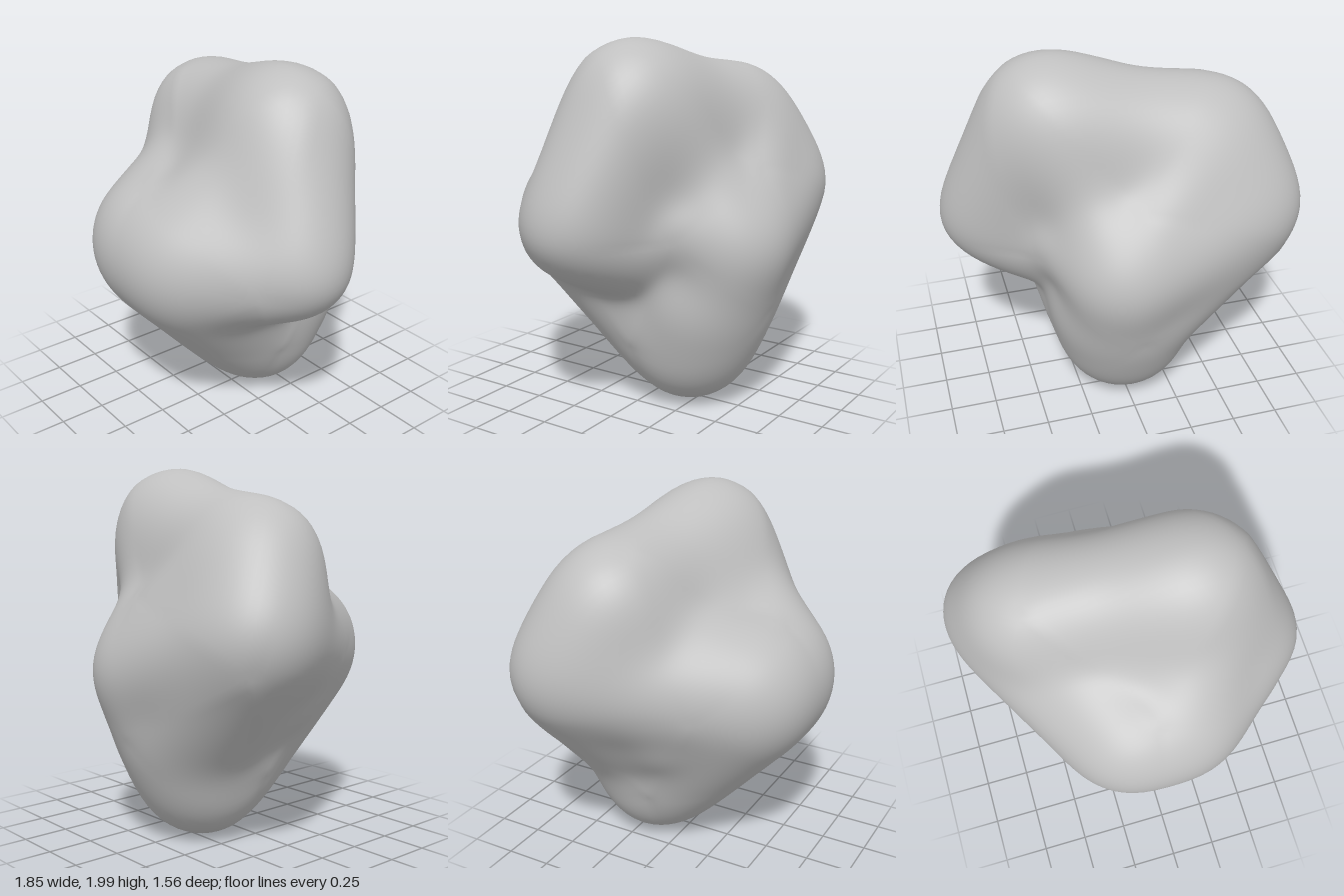
import * as THREE from 'three';
import { mergeVertices } from 'three/addons/utils/BufferGeometryUtils.js';

// Lumps of the boulder: x, y, z, radius
const lumps = {
  peak: [0.35, 1.665, -0.06, 0.365],
  saddle: [-0.06, 1.585, -0.14, 0.315],
  shoulder: [-0.48, 1.515, -0.2, 0.345],
  leftSide: [-0.625, 1.19, -0.36, 0.328],
  leftLow: [-0.28, 0.87, 0.02, 0.32],
  rightSide: [0.672, 1.08, 0.09, 0.285],
  rightLow: [0.42, 0.95, 0.0, 0.265],
  hollow: [0.3, 1.08, -0.22, 0.23],
  frontA: [-0.1, 1.02, 0.38, 0.4],
  frontB: [0.15, 1.02, 0.38, 0.4],
  browA: [-0.35, 1.28, -0.03, 0.28],
  browB: [0.3, 1.37, 0.14, 0.3],
  nape: [0.15, 1.3, -0.22, 0.28],
  back: [0.06, 0.94, -0.47, 0.32],
  neck: [0, 0.62, -0.26, 0.415],
  foot: [-0.01, 0.35, -0.19, 0.365],
  core: [0, 0.97, -0.05, 0.5],
};

// Ridges that join the lumps
const ridges = [
  ['peak', 'saddle'], ['saddle', 'shoulder'], ['peak', 'rightSide'],
  ['peak', 'nape'], ['saddle', 'nape'], ['nape', 'back'],
  ['shoulder', 'back'], ['shoulder', 'leftSide'],
  ['leftSide', 'back'], ['leftSide', 'frontA'], ['leftSide', 'neck'],
  ['leftLow', 'frontA'], ['leftLow', 'neck'],
  ['frontA', 'frontB'], ['frontB', 'rightSide'], ['rightSide', 'rightLow'],
  ['rightLow', 'hollow'], ['hollow', 'back'],
  ['browA', 'browB'], ['browA', 'frontA'], ['browB', 'frontB'],
  ['foot', 'frontA'], ['foot', 'frontB'], ['foot', 'back'], ['foot', 'neck'],
  ['core', 'core'],
];

// Each ridge is a tapered capsule
const capsules = ridges.map((names) => {
  const [a, b] = names.map((name) => new THREE.Vector3(...lumps[name]));
  const [ra, rb] = names.map((name) => lumps[name][3]);
  const axis = b.sub(a);
  return { a, axis, ra, rb, len2: axis.lengthSq() || 1 };
});

const tmp = new THREE.Vector3();

// Distance to the nearest ridge
function distance(p) {
  let nearest = Infinity;
  for (const { a, axis, ra, rb, len2 } of capsules) {
    tmp.copy(p).sub(a);
    const t = THREE.MathUtils.clamp(tmp.dot(axis) / len2, 0, 1);
    const d = tmp.addScaledVector(axis, -t).length() - THREE.MathUtils.lerp(ra, rb, t);
    nearest = Math.min(nearest, d);
  }
  return nearest;
}

// Average each radius with its neighbours to soften the valleys
function soften(radii, index) {
  const sum = new Array(radii.length).fill(0), count = new Array(radii.length).fill(0);
  for (let f = 0; f < index.length; f += 3) {
    for (let k = 0; k < 3; k++) {
      const i = index[f + k];
      sum[i] += radii[index[f + (k + 1) % 3]] + radii[index[f + (k + 2) % 3]];
      count[i] += 2;
    }
  }
  return radii.map((r, i) => (r + sum[i] / count[i]) / 2);
}

// Shrink a sphere onto the lumps along rays from the centre
function makeBoulder() {
  const sphere = new THREE.IcosahedronGeometry(1, 24);
  sphere.deleteAttribute('normal');
  sphere.deleteAttribute('uv');
  const geometry = mergeVertices(sphere, 1e-4);
  const centre = new THREE.Vector3(0, 1, -0.05);
  const pos = geometry.attributes.position;
  const dir = new THREE.Vector3(), p = new THREE.Vector3();
  let radii = [];
  for (let i = 0; i < pos.count; i++) {
    dir.fromBufferAttribute(pos, i).normalize();
    let r = 1.6;
    for (let step = 0; step < 100; step++) {
      const d = distance(p.copy(centre).addScaledVector(dir, r));
      if (d < 0.0005) break;
      r -= d * 0.8;
    }
    radii.push(r);
  }
  for (let pass = 0; pass < 24; pass++) radii = soften(radii, geometry.index.array);
  for (let i = 0; i < pos.count; i++) {
    p.fromBufferAttribute(pos, i).normalize().multiplyScalar(radii[i]).add(centre);
    pos.setXYZ(i, p.x, p.y, p.z);
  }

  // Stand it on the ground
  geometry.computeBoundingBox();
  geometry.translate(0, -geometry.boundingBox.min.y, 0);
  geometry.computeVertexNormals();
  return geometry;
}

export function createModel() {
  const stone = new THREE.MeshStandardMaterial({ color: 0xc0c0c0 });
  stone.name = 'stone grey';
  const boulder = new THREE.Mesh(makeBoulder(), stone);
  boulder.name = 'boulder';
  const group = new THREE.Group();
  group.name = 'rock';
  group.add(boulder);
  return group;
}
